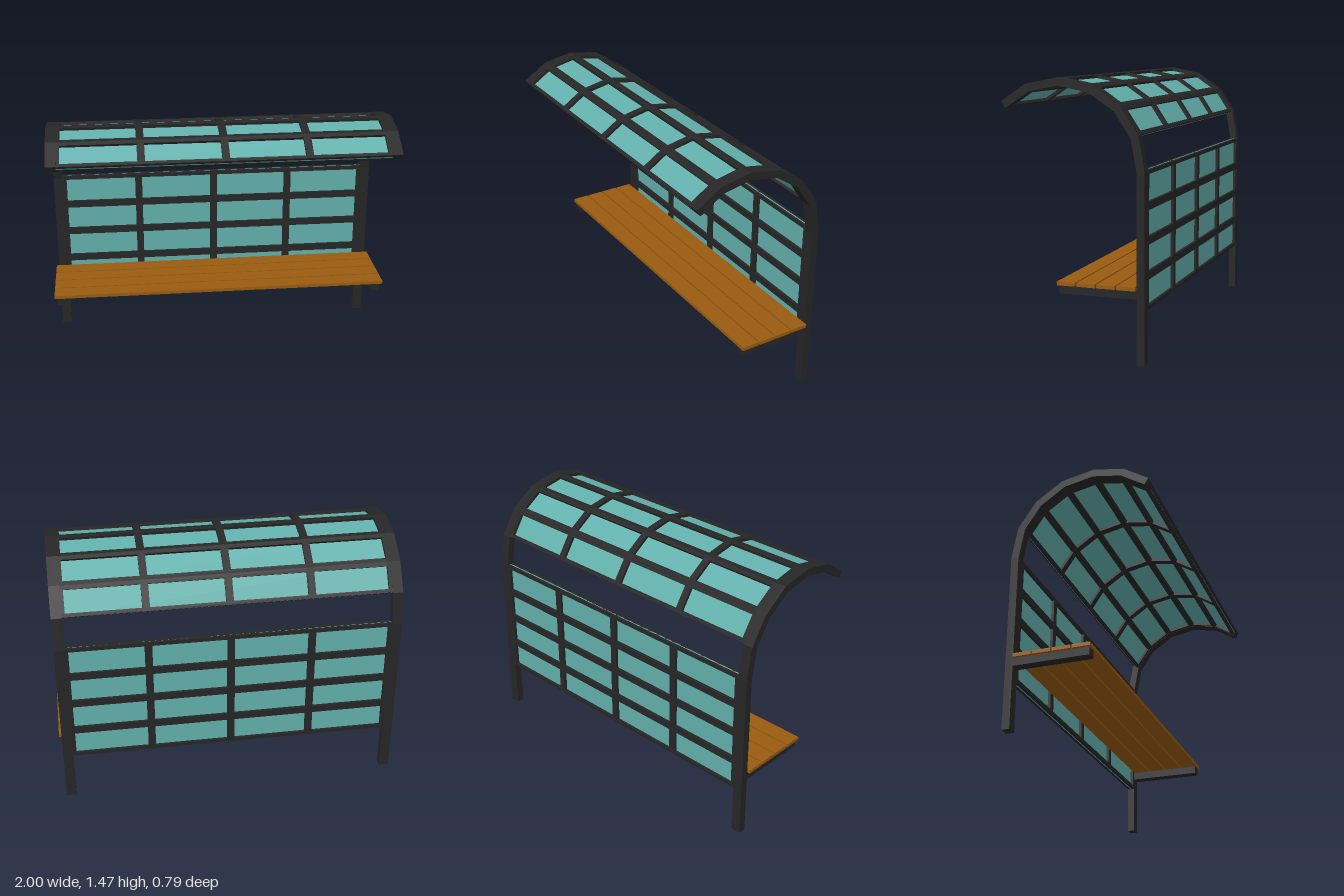
import * as THREE from 'three';

const frameMat = new THREE.MeshStandardMaterial({ color: 0x262626 });
const glassMat = new THREE.MeshStandardMaterial({ color: 0x62b0ac });
const woodMat = new THREE.MeshStandardMaterial({ color: 0x995c10 });

const V = (z, y) => new THREE.Vector2(z, y);

// Mitred strip that follows a (z, y) path, with a given thickness, spanning `width` around x.
function strip(name, path, thickness, width, x, material) {
  const outer = [], inner = [];
  path.forEach((p, i) => {
    const before = p.clone().sub(path[Math.max(i - 1, 0)]).normalize();
    const after = path[Math.min(i + 1, path.length - 1)].clone().sub(p).normalize();
    const tangent = before.clone().add(after).normalize();
    const normal = V(-tangent.y, tangent.x);
    const ref = i === 0 ? after : before;
    const offset = normal.multiplyScalar(thickness / 2 / tangent.dot(ref));
    outer.push(p.clone().add(offset));
    inner.unshift(p.clone().sub(offset));
  });
  const geometry = new THREE.ExtrudeGeometry(new THREE.Shape([...outer, ...inner]), {
    depth: width, bevelEnabled: false,
  });
  geometry.translate(0, 0, -width / 2);
  geometry.rotateY(-Math.PI / 2);
  const mesh = new THREE.Mesh(geometry, material);
  mesh.position.x = x;
  mesh.name = name;
  return mesh;
}

// Glazed panel: a glass sheet, upright bars and a rail at every path point.
function glazing(name, path) {
  const group = new THREE.Group();
  group.name = name;
  const depth = 0.04, span = 1.856, rail = 0.021;
  group.add(strip('glass', path, 0.008, span, 0, glassMat));
  for (const x of [-0.465, 0, 0.465]) group.add(strip('mullion', path, depth, 0.042, x, frameMat));
  for (const s of [-1, 1]) group.add(strip('sideBar', path, depth, 0.022, s * 0.918, frameMat));
  path.forEach((p, i) => {
    const toward = (q) => p.clone().add(q.clone().sub(p).setLength(rail));
    const bent = [p];
    if (i > 0) bent.unshift(toward(path[i - 1]));
    if (i < path.length - 1) bent.push(toward(path[i + 1]));
    group.add(strip('rail', bent, depth, span, 0, frameMat));
  });
  return group;
}

function box(name, w, h, d, x, y, z, material) {
  const mesh = new THREE.Mesh(new THREE.BoxGeometry(w, h, d), material);
  mesh.position.set(x, y, z);
  mesh.name = name;
  return mesh;
}

export function createModel() {
  const model = new THREE.Group();
  model.name = 'busShelter';

  // Faceted arch shared by the roof and the tops of the posts
  const backZ = -0.372;
  const arch = [
    V(-0.34, 1.18), V(-0.245, 1.322), V(-0.1, 1.42),
    V(0.075, 1.453), V(0.245, 1.42), V(0.383, 1.33),
  ];

  // Curved posts and seat brackets
  for (const s of [-1, 1]) {
    const side = s > 0 ? 'left' : 'right';
    model.add(strip(side + 'Post', [V(backZ, 0), V(backZ, 1), ...arch], 0.043, 0.058, s * 0.956, frameMat));
    model.add(box(side + 'SeatBracket', 0.058, 0.045, 0.43, s * 0.956, 0.3725, -0.14, frameMat));
  }

  // Glazed roof and back wall
  model.add(glazing('roof', arch));
  model.add(glazing('backWall', [0.285, 0.463, 0.645, 0.825, 1.01].map((y) => V(backZ, y))));

  // Seat planks
  const seat = new THREE.Group();
  seat.name = 'seat';
  for (let i = 0; i < 4; i++) seat.add(box('plank', 2, 0.02, 0.101, 0, 0.405, 0.034 - i * 0.11, woodMat));
  model.add(seat);

  return model;
}
